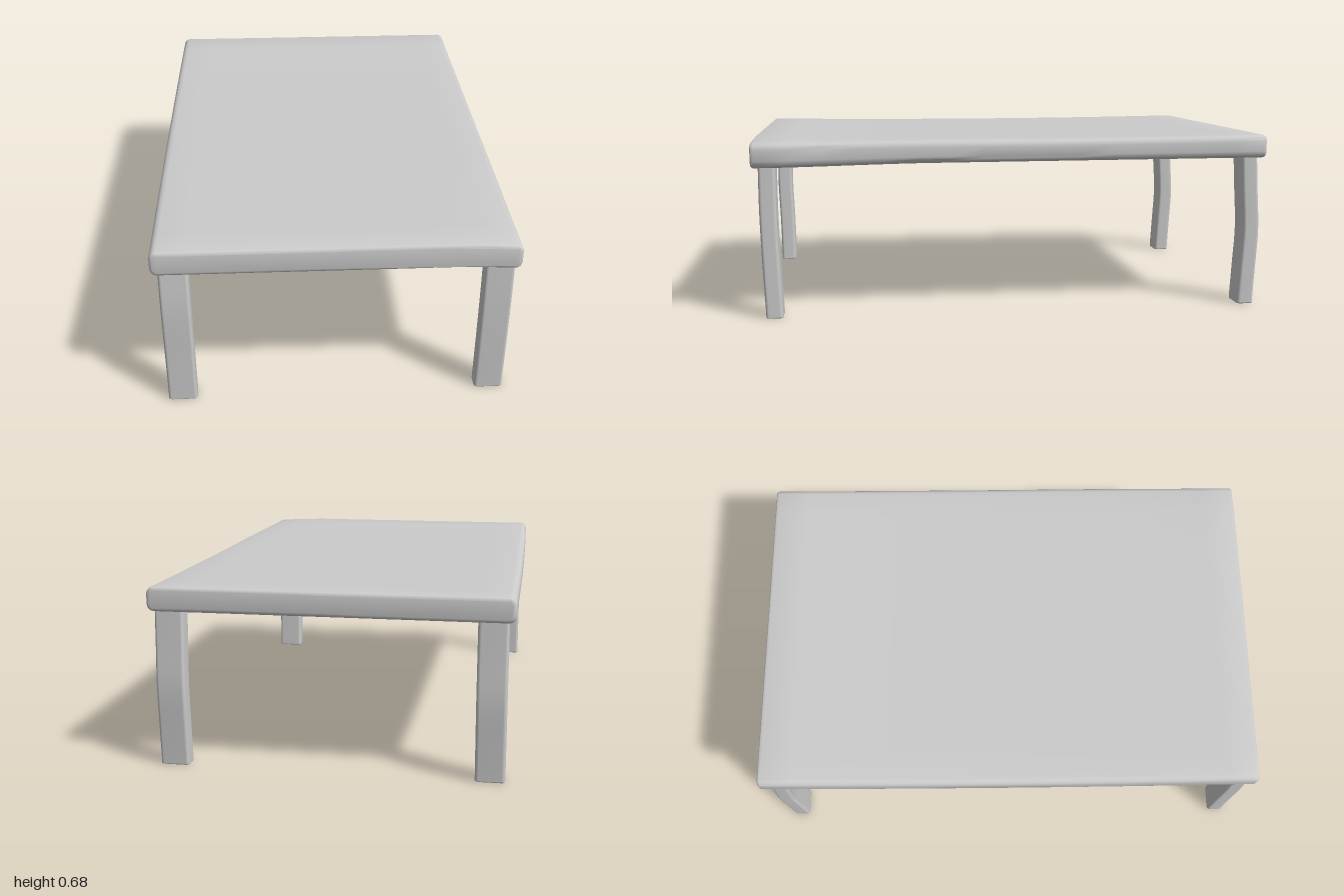
import * as THREE from 'three';
import { toCreasedNormals, mergeVertices } from 'three/addons/utils/BufferGeometryUtils.js';

const material = new THREE.MeshStandardMaterial({ color: 0xcccccc });
const openMaterial = new THREE.MeshStandardMaterial({ color: 0xcccccc, side: THREE.DoubleSide });

// Rounded rectangle outline, anticlockwise, with extra points along the long sides
function outline(w, h, r, sidePoints = 1, arcSteps = 4) {
  const points = [];
  const corners = [[1, -1, -0.5], [1, 1, 0], [-1, 1, 0.5], [-1, -1, 1]];
  corners.forEach(([sx, sy, start], c) => {
    const cx = sx * (w / 2 - r), cy = sy * (h / 2 - r);
    for (let i = 0; i <= arcSteps; i++) {
      const a = (start + 0.5 * i / arcSteps) * Math.PI;
      points.push(new THREE.Vector2(cx + r * Math.cos(a), cy + r * Math.sin(a)));
    }
    if (c % 2 === 1) {
      for (let i = 1; i < sidePoints; i++) {
        points.push(new THREE.Vector2(cx * (1 - 2 * i / sidePoints), sy * h / 2));
      }
    }
  });
  return points;
}

// Slab swept along z, then gently warped: ends lifted, front left corner drooping
function makeTop() {
  const bevel = 0.012, depth = 1.99 - 2 * bevel;
  const shape = new THREE.Shape(outline(1.316 - 2 * bevel, 0.085 - 2 * bevel, 0.014, 12));
  const geo = new THREE.ExtrudeGeometry(shape, {
    depth, steps: 16, bevelThickness: bevel, bevelSize: bevel, bevelSegments: 3,
  });
  geo.translate(0, 0, -depth / 2);
  const p = geo.attributes.position;
  for (let i = 0; i < p.count; i++) {
    const x = p.getX(i), y = p.getY(i), z = p.getZ(i);
    const upper = THREE.MathUtils.clamp(y / 0.085 + 0.5, 0, 1);
    const droop = 0.01 * THREE.MathUtils.smoothstep(x, 0.45, 0.66) * THREE.MathUtils.smoothstep(z, 0.3, 1);
    const lift = upper * 0.008 * z * z - (1 - upper) * 0.003 * z;
    p.setY(i, 0.627 + y + lift - droop);
    if (x < -0.64) p.setX(i, x - 0.005 * (1 - z * z));
  }
  return toCreasedNormals(geo, 0.7);
}

// Leg with an open foot, lofted through stations of [height, z centre]
function makeLeg(stations, x, width) {
  const ring = outline(width, 0.064, 0.012);
  const n = ring.length;
  const path = new THREE.CatmullRomCurve3(stations.map(([y, z]) => new THREE.Vector3(x, y, z)));
  const rows = 16, positions = [], index = [];
  for (let j = 0; j <= rows; j++) {
    const c = path.getPoint(j / rows);
    const scale = j === 0 ? 0.95 : 1;
    for (const q of ring) positions.push(c.x + q.x * scale, c.y, c.z - q.y * scale);
  }
  for (let j = 0; j < rows; j++) {
    for (let i = 0; i < n; i++) {
      const a = j * n + i, b = j * n + (i + 1) % n;
      index.push(a, b, b + n, a, b + n, a + n);
    }
  }
  const geo = new THREE.BufferGeometry();
  geo.setAttribute('position', new THREE.Float32BufferAttribute(positions, 3));
  geo.setIndex(index);
  const welded = mergeVertices(geo);
  welded.computeVertexNormals();
  return welded;
}

export function createModel() {
  const table = new THREE.Group();
  table.name = 'table';

  const top = new THREE.Mesh(makeTop(), material);
  top.name = 'tableTop';
  table.add(top);

  // Each leg bows a little along z
  const backBow = [[0, -0.932], [0.01, -0.932], [0.15, -0.94], [0.3, -0.948], [0.45, -0.94], [0.6, -0.932]];
  const legs = {
    frontLeftLeg: [0.586, 0.108, [[0, 0.922], [0.01, 0.922], [0.2, 0.93], [0.4, 0.936], [0.6, 0.936]]],
    frontRightLeg: [-0.581, 0.108, [[0, 0.938], [0.01, 0.938], [0.2, 0.942], [0.42, 0.948], [0.6, 0.937]]],
    backLeftLeg: [0.586, 0.108, backBow],
    backRightLeg: [-0.581, 0.108, backBow],
  };
  for (const [name, [x, width, stations]] of Object.entries(legs)) {
    const leg = new THREE.Mesh(makeLeg(stations, x, width), openMaterial);
    leg.name = name;
    table.add(leg);
  }
  return table;
}
